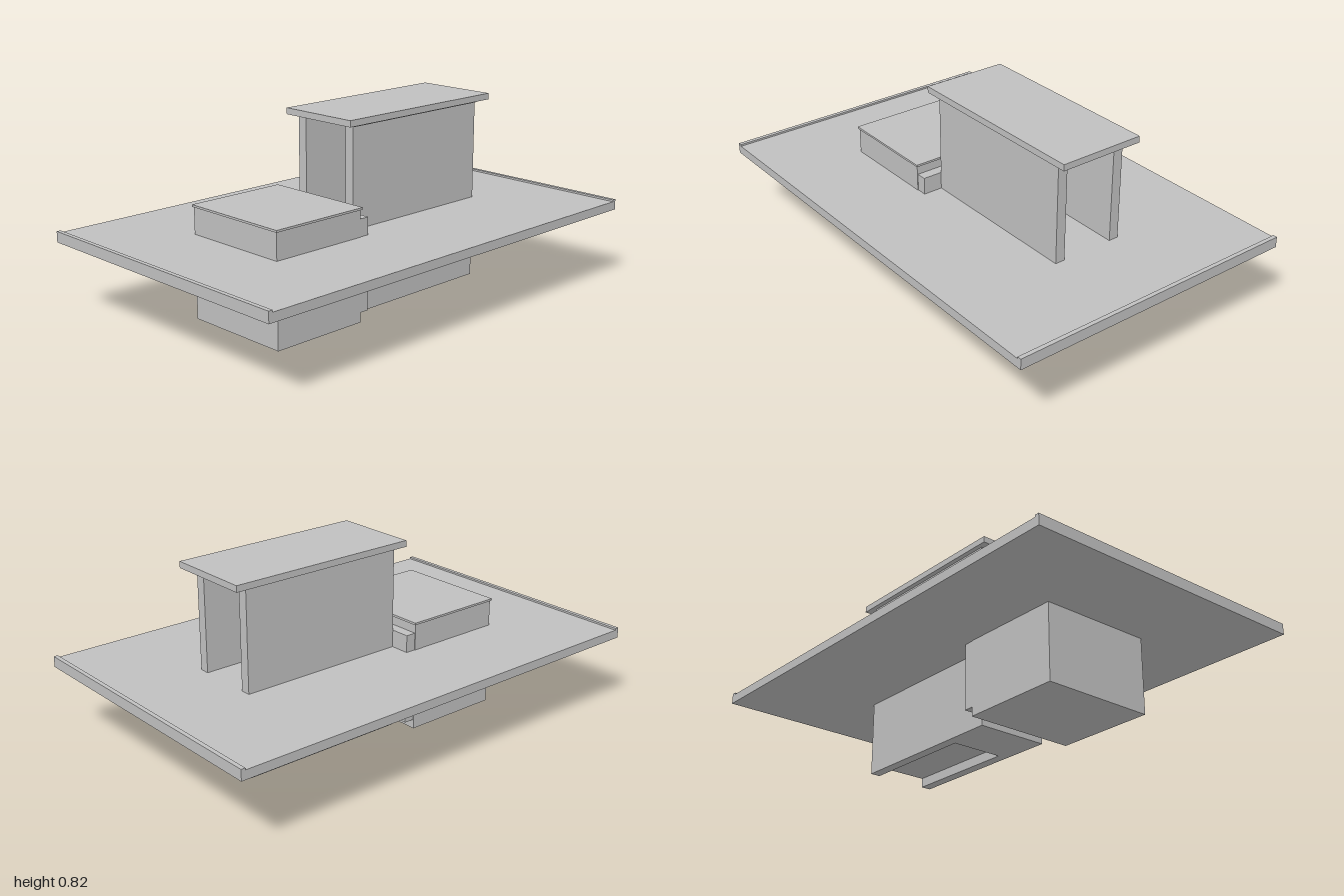
import * as THREE from 'three';

export function createModel() {
  const model = new THREE.Group();
  const grey = new THREE.MeshStandardMaterial({ color: 0xc0c0c0 });
  grey.name = 'plain grey';

  // Box given by its limits along each axis
  function block(name, [x0, x1], [y0, y1], [z0, z1]) {
    const mesh = new THREE.Mesh(new THREE.BoxGeometry(x1 - x0, y1 - y0, z1 - z0), grey);
    mesh.position.set((x0 + x1) / 2, (y0 + y1) / 2, (z0 + z1) / 2);
    mesh.name = name;
    model.add(mesh);
  }

  // Wide slab with a low rim along its front and back edges
  block('slab', [-0.642, 0.642], [0.32, 0.358], [-1, 1]);
  block('frontRim', [-0.642, 0.642], [0.358, 0.366], [0.982, 1]);
  block('backRim', [-0.642, 0.642], [0.358, 0.366], [-1, -0.982]);

  // Low front block with its lid, and the neck joining it to the tower
  block('frontBlock', [-0.246, 0.246], [0, 0.471], [0.175, 0.615]);
  block('frontLid', [-0.252, 0.252], [0.471, 0.48], [0.168, 0.62]);
  block('neck', [-0.243, 0.243], [0.04, 0.432], [0.13, 0.175]);

  // Tower: two long walls, open front to back above the slab
  for (const [side, s] of [['left', 1], ['right', -1]]) {
    const span = (a, b) => (s > 0 ? [a, b] : [-b, -a]);
    block(side + 'Wall', span(0.115, 0.158), [0, 0.782], [-0.61, 0.13]);
    block(side + 'WallCap', span(0.11, 0.164), [0.782, 0.79], [-0.616, 0.132]);
  }
  block('roof', [-0.185, 0.185], [0.79, 0.817], [-0.67, 0.172]);

  // Core between the walls below the slab, recessed underneath at the back
  block('coreFront', [-0.115, 0.115], [0, 0.32], [-0.09, 0.13]);
  block('coreBack', [-0.115, 0.115], [0.04, 0.32], [-0.61, -0.09]);

  return model;
}
